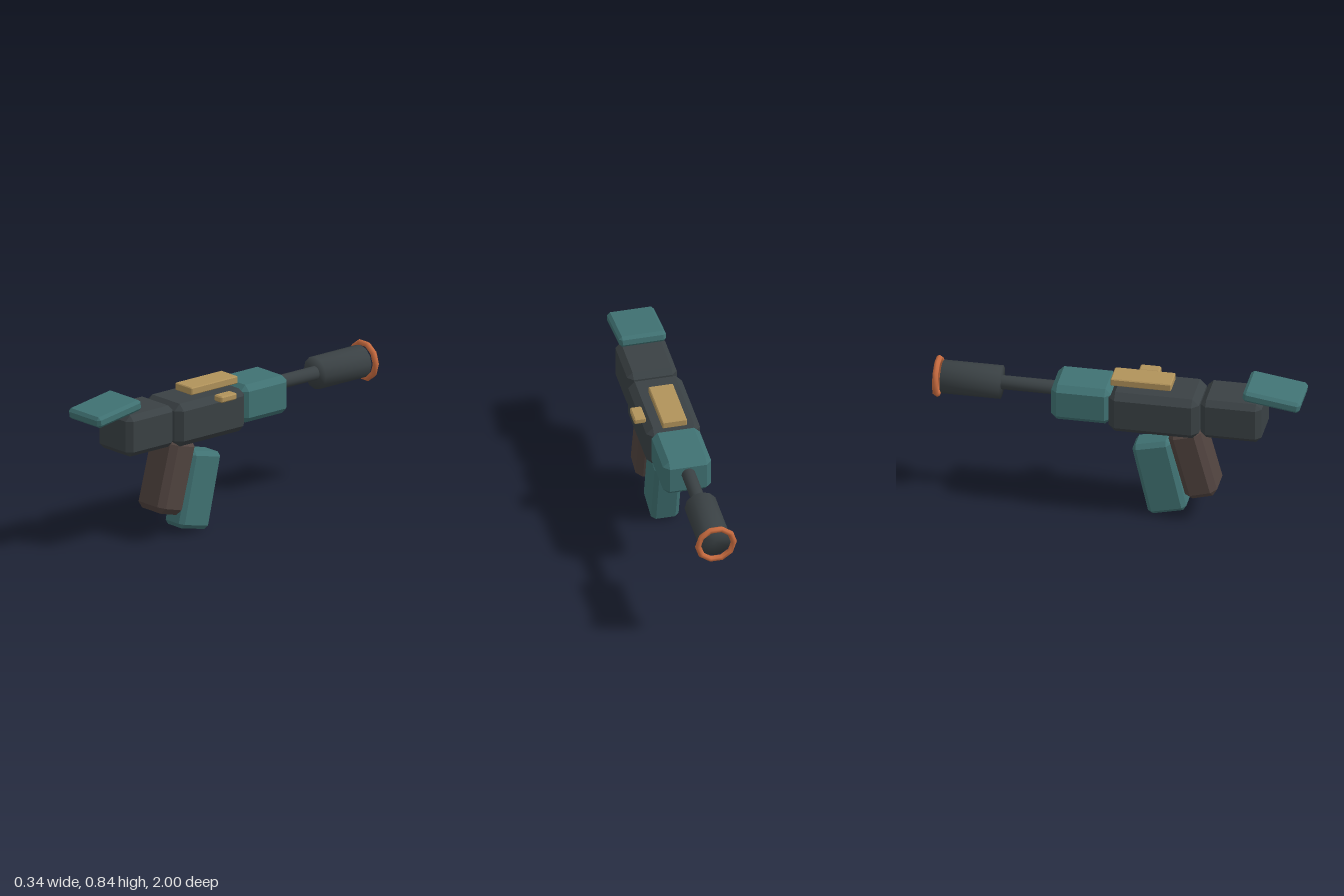
import * as THREE from 'three';
import { mergeVertices } from 'three/addons/utils/BufferGeometryUtils.js';
import { ConvexGeometry } from 'three/addons/geometries/ConvexGeometry.js';

const AXIS_X = -0.026; // the body sits slightly off centre because of the side handle
const BORE_Y = 0.688;

const material = (color) => new THREE.MeshStandardMaterial({ color });
const steel = material(0x3a4144);
const teal = material(0x407273);
const brown = material(0x50433f);
const brass = material(0xb0925a);
const copper = material(0xc96c40);

// Box with every edge cut by a flat chamfer c
function chamferBox(w, h, d, c) {
  const points = [];
  for (const sx of [-1, 1]) for (const sy of [-1, 1]) for (const sz of [-1, 1]) {
    const x = w / 2, y = h / 2, z = d / 2;
    points.push(
      new THREE.Vector3(sx * x, sy * (y - c), sz * (z - c)),
      new THREE.Vector3(sx * (x - c), sy * y, sz * (z - c)),
      new THREE.Vector3(sx * (x - c), sy * (y - c), sz * z)
    );
  }
  return new ConvexGeometry(points);
}

// Closed cylinder along z whose normals are shared across the rim
function softTube(radius, length, sides) {
  const g = new THREE.CylinderGeometry(radius, radius, length, sides);
  g.rotateX(Math.PI / 2);
  g.deleteAttribute('normal');
  g.deleteAttribute('uv');
  const merged = mergeVertices(g, 1e-4);
  merged.computeVertexNormals();
  return merged;
}

export function createModel() {
  const model = new THREE.Group();
  model.name = 'blaster';

  const add = (name, geometry, mat, position, tilt = 0) => {
    const mesh = new THREE.Mesh(geometry, mat);
    mesh.name = name;
    mesh.position.set(...position);
    mesh.rotation.x = THREE.MathUtils.degToRad(tilt);
    model.add(mesh);
    return mesh;
  };

  // Body blocks, front to back
  add('handguard', chamferBox(0.264, 0.21, 0.325, 0.032), teal, [AXIS_X, 0.66, -0.189]);
  add('receiver', chamferBox(0.294, 0.238, 0.49, 0.036), steel, [AXIS_X + 0.001, 0.641, 0.206]);
  add('stock', chamferBox(0.272, 0.23, 0.33, 0.03), steel, [AXIS_X, 0.65, 0.625]);
  add('cheekRest', chamferBox(0.256, 0.062, 0.312, 0.016), teal, [AXIS_X, 0.792, 0.844], 8.5);

  // Slanted grip and magazine
  add('grip', chamferBox(0.218, 0.412, 0.18, 0.033), brown, [AXIS_X + 0.002, 0.344, 0.411], -15);
  add('magazine', chamferBox(0.152, 0.424, 0.213, 0.023), teal, [AXIS_X + 0.002, 0.227, 0.225], -13);

  // Top plate and side handle
  add('topPlate', chamferBox(0.134, 0.042, 0.328, 0.005), brass, [AXIS_X, 0.79, 0.127]);
  add('sideHandle', chamferBox(0.064, 0.036, 0.112, 0.007), brass, [0.136, 0.752, 0.134]);

  // Barrel, muzzle sleeve and muzzle ring
  add('barrel', softTube(0.038, 0.34, 12), steel, [AXIS_X, BORE_Y, -0.5]);
  add('muzzleSleeve', softTube(0.09, 0.322, 12), steel, [AXIS_X, BORE_Y, -0.799]);
  add('muzzleRing', new THREE.TorusGeometry(0.098, 0.017, 6, 10), copper, [AXIS_X, BORE_Y, -0.983]);

  return model;
}
